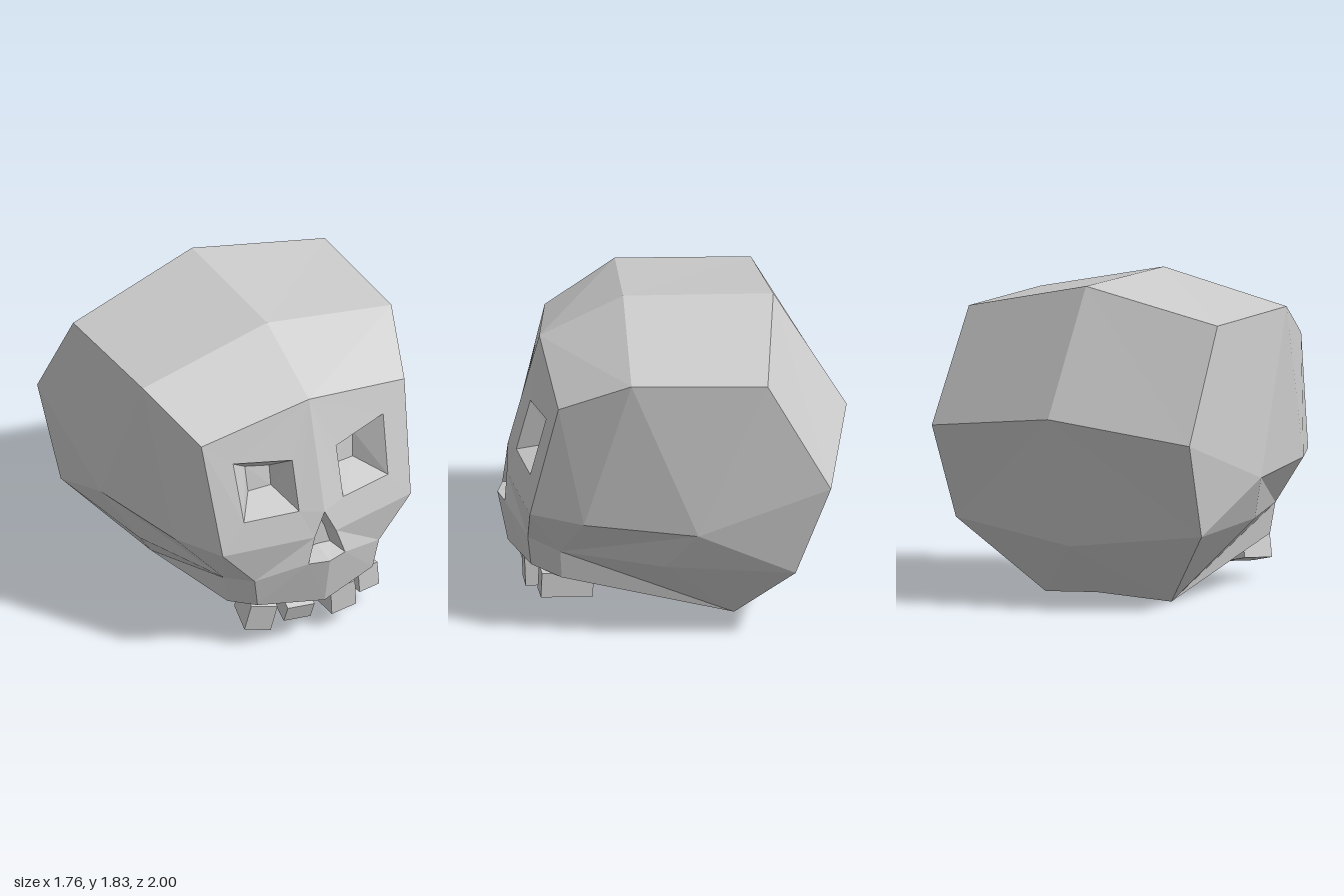
import * as THREE from 'three';

const material = new THREE.MeshStandardMaterial({ color: 0xcccccc, flatShading: true });

// Corner points of the model's left half (x >= 0)
const P = {
  // crown, back and base: centre line and side corners
  brow: [0, 1.59, 0.76], browS: [0.67, 1.45, 0.69],
  top: [0, 1.83, 0.28], topS: [0.82, 1.66, 0.28],
  rear: [0, 1.82, -0.58], rearS: [0.83, 1.64, -0.5],
  back: [0, 1.1, -1], backS: [0.86, 0.99, -0.86],
  nape: [0, 0.34, -0.76], napeS: [0.82, 0.44, -0.66],
  base: [0, 0.04, -0.46], baseS: [0.42, 0, -0.33],
  // cheek and temple
  cheek: [0.62, 0.76, 0.85], arch: [0.77, 0.755, 0.55], temple: [0.88, 0.72, -0.1],
  jaw: [0.41, 0.51, 0.85], jawS: [0.51, 0.46, 0.67], hinge: [0.73, 0.455, 0.08],
  // upper jaw
  lip: [0, 0.29, 0.94], lipM: [0.38, 0.32, 0.83], lipS: [0.48, 0.28, 0.66],
  palate: [0, 0.27, 0.5],
  // eye opening and its recessed floor
  eyeIB: [0.145, 0.94, 0.9], eyeOB: [0.475, 0.94, 0.84],
  eyeOT: [0.495, 1.305, 0.75], eyeIT: [0.145, 1.25, 0.82],
  pitIB: [0.2, 1.005, 0.67], pitOB: [0.345, 1.005, 0.66],
  pitOT: [0.355, 1.17, 0.64], pitIT: [0.2, 1.13, 0.65],
  // nose opening and its recessed floor
  noseT: [0, 0.91, 0.94], noseM: [0.07, 0.76, 0.95],
  noseB: [0.12, 0.6, 0.965], noseC: [0, 0.6, 1],
  pitT: [0, 0.85, 0.85], pitM: [0.05, 0.74, 0.85],
  pitB: [0.085, 0.62, 0.85], pitC: [0, 0.63, 0.85],
};

const CRANIUM = [
  'brow browS topS top', 'top topS rearS rear', 'rear rearS backS back',
  'back backS napeS nape', 'nape napeS baseS base', 'base baseS lipS palate',
  'temple napeS backS rearS topS arch', 'arch topS browS cheek',
  'temple hinge napeS', 'hinge baseS napeS', 'jawS lipS baseS hinge',
  'temple jawS hinge', 'arch jawS temple', 'cheek jawS arch',
];
const FACE = [
  'brow eyeIT eyeOT browS', 'brow noseT eyeIB eyeIT', 'browS eyeOT eyeOB cheek',
  'eyeIB noseT noseM cheek eyeOB', 'noseM noseB jaw cheek',
];
const UPPER_JAW = [
  'noseB noseC lip lipM jaw', 'jaw lipM lipS jawS', 'jaw jawS cheek',
  'palate lipS lipM lip',
];
const EYE_SOCKETS = [
  'eyeIB eyeOB pitOB pitIB', 'eyeOB eyeOT pitOT pitOB', 'eyeOT eyeIT pitIT pitOT',
  'eyeIT eyeIB pitIB pitIT', 'pitIB pitOB pitOT pitIT',
];
const NOSE_CAVITY = [
  'noseC noseB pitB pitC', 'noseB noseM pitM pitB', 'noseM noseT pitT pitM',
  'pitC pitB pitM pitT',
];

// Fans each face into triangles and mirrors it across x = 0
function mirroredMesh(name, faces) {
  const pos = [];
  for (const face of faces) {
    const pts = face.split(' ').map((key) => P[key]);
    for (let i = 1; i < pts.length - 1; i++) {
      const [a, b, c] = [pts[0], pts[i], pts[i + 1]];
      pos.push(...a, ...b, ...c);
      for (const [x, y, z] of [a, c, b]) pos.push(-x, y, z);
    }
  }
  const geometry = new THREE.BufferGeometry();
  geometry.setAttribute('position', new THREE.Float32BufferAttribute(pos, 3));
  geometry.computeVertexNormals();
  const mesh = new THREE.Mesh(geometry, material);
  mesh.name = name;
  return mesh;
}

// Crooked block teeth: position, size, rotation
const TEETH = [
  [[-0.31, 0.2, 0.69], [0.16, 0.17, 0.22], [0.08, -0.25, -0.2]],
  [[-0.115, 0.23, 0.77], [0.17, 0.11, 0.2], [0.3, -0.1, -0.08]],
  [[0.165, 0.2, 0.76], [0.165, 0.17, 0.2], [0.03, 0.05, 0.06]],
  [[0.37, 0.205, 0.63], [0.135, 0.15, 0.3], [-0.05, 0.08, 0.05]],
];

export function createModel() {
  const skull = new THREE.Group();
  skull.name = 'skull';
  skull.add(
    mirroredMesh('cranium', CRANIUM),
    mirroredMesh('face', FACE),
    mirroredMesh('upperJaw', UPPER_JAW),
    mirroredMesh('eyeSockets', EYE_SOCKETS),
    mirroredMesh('noseCavity', NOSE_CAVITY),
  );

  const teeth = new THREE.Group();
  teeth.name = 'teeth';
  TEETH.forEach(([position, size, rotation], i) => {
    const tooth = new THREE.Mesh(new THREE.BoxGeometry(...size), material);
    tooth.name = `tooth${i + 1}`;
    tooth.position.set(...position);
    tooth.rotation.set(...rotation);
    teeth.add(tooth);
  });
  skull.add(teeth);
  return skull;
}
